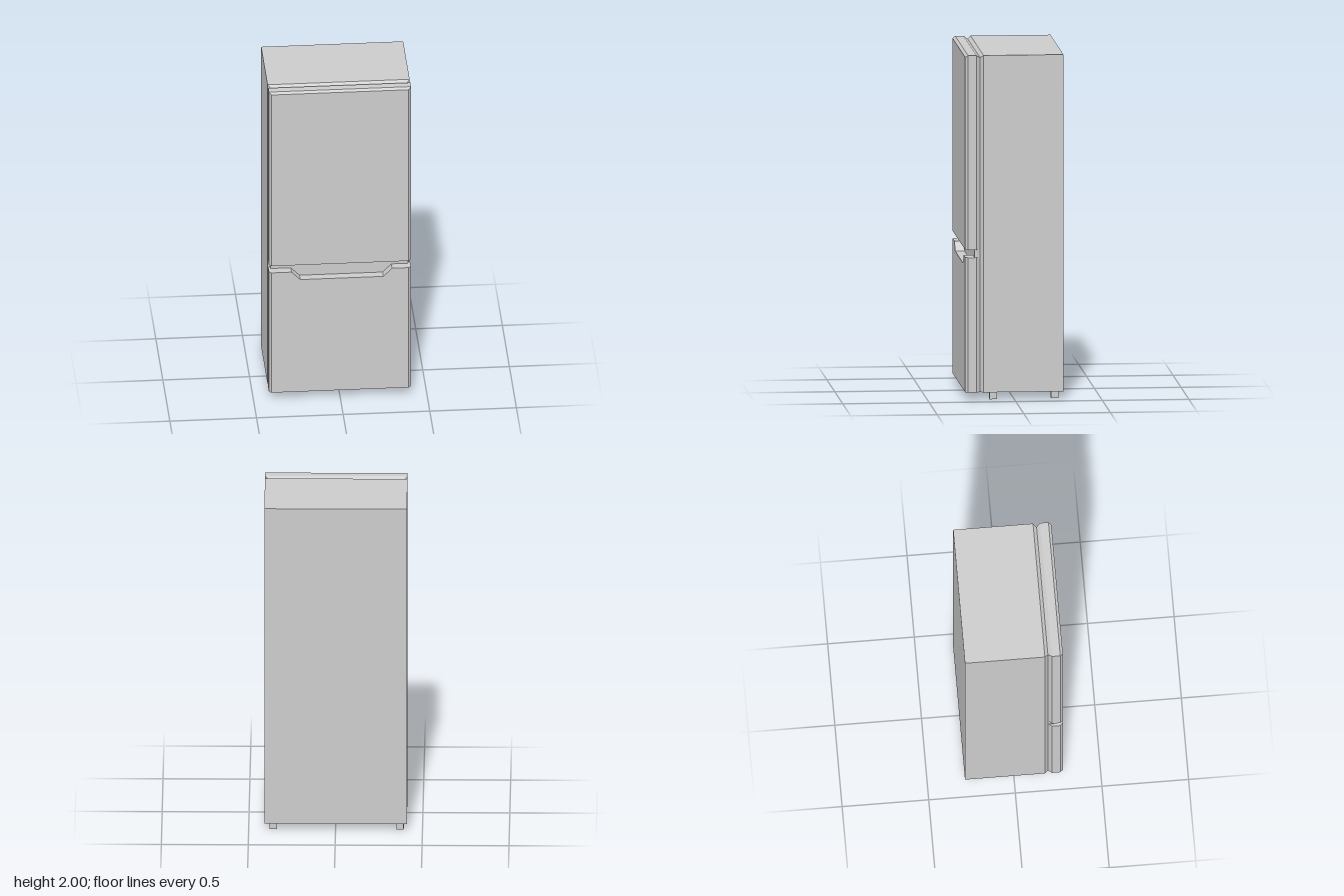
import * as THREE from 'three';

const HALF = 0.41, BASE = 0.043, TOP = 2;

// Joins copies of an outline (counter-clockwise, seen from the front) along z.
// layers: [z, inset]; outlineAt(inset) returns [x, y] points.
function loft(outlineAt, layers) {
  const pos = [];
  const rings = layers.map(([z, inset]) => outlineAt(inset).map(([x, y]) => [x, y, z]));
  const tri = (a, b, c) => pos.push(...a, ...b, ...c);
  const n = rings[0].length;
  for (let k = 0; k < rings.length - 1; k++) {
    for (let i = 0; i < n; i++) {
      const j = (i + 1) % n;
      tri(rings[k][i], rings[k][j], rings[k + 1][j]);
      tri(rings[k][i], rings[k + 1][j], rings[k + 1][i]);
    }
  }
  const cap = (ring, front) => {
    const pts = ring.map(([x, y]) => new THREE.Vector2(x, y));
    for (const [a, b, c] of THREE.ShapeUtils.triangulateShape(pts, [])) {
      if (front) tri(ring[a], ring[b], ring[c]);
      else tri(ring[a], ring[c], ring[b]);
    }
  };
  cap(rings[0], false);
  cap(rings[rings.length - 1], true);
  const geo = new THREE.BufferGeometry();
  geo.setAttribute('position', new THREE.Float32BufferAttribute(pos, 3));
  geo.computeVertexNormals();
  return geo;
}

// Rectangle whose sides and, optionally, top shrink with the inset
const panel = (bottom, top, insetTop) => (inset) => {
  const x = HALF - inset, y = top - (insetTop ? inset * 0.8 : 0);
  return [[-x, bottom], [x, bottom], [x, y], [-x, y]];
};

// Lower door outline with the hand notch in its top edge
const notchedPanel = (inset) => {
  const x = HALF - inset, y = 0.826;
  return [[-x, BASE], [x, BASE], [x, y], [0.3, y], [0.25, 0.775],
    [-0.23, 0.775], [-0.28, y], [-x, y]];
};

export function createModel() {
  const group = new THREE.Group();
  const material = new THREE.MeshStandardMaterial({ color: 0xcccccc, flatShading: true });
  const add = (name, geo) => {
    const mesh = new THREE.Mesh(geo, material);
    mesh.name = name;
    group.add(mesh);
    return mesh;
  };

  // Cabinet with a bevelled front rim
  add('cabinet', loft(panel(BASE, TOP, true), [[-0.283, 0], [0.178, 0], [0.197, 0.018]]));

  // Doors flare out from the seal and are chamfered at the front
  const doorLayers = [[0.197, 0.018], [0.219, 0], [0.267, 0], [0.283, 0.014]];
  add('upperDoor', loft(panel(0.87, TOP, true), doorLayers));
  add('lowerDoor', loft(notchedPanel, doorLayers));

  // Recessed strip behind the gap and the hand notch
  add('gapStrip', loft(panel(0.76, 0.88, false), [[0.197, 0.018], [0.212, 0.013], [0.23, 0.013]]));

  // Feet
  const feet = [
    ['frontLeftFoot', 0.37, 0.12], ['frontRightFoot', -0.371, 0.134],
    ['backLeftFoot', 0.358, -0.236], ['backRightFoot', -0.371, -0.236],
  ];
  for (const [name, x, z] of feet) {
    add(name, new THREE.BoxGeometry(0.042, BASE, 0.042)).position.set(x, BASE / 2, z);
  }
  return group;
}
